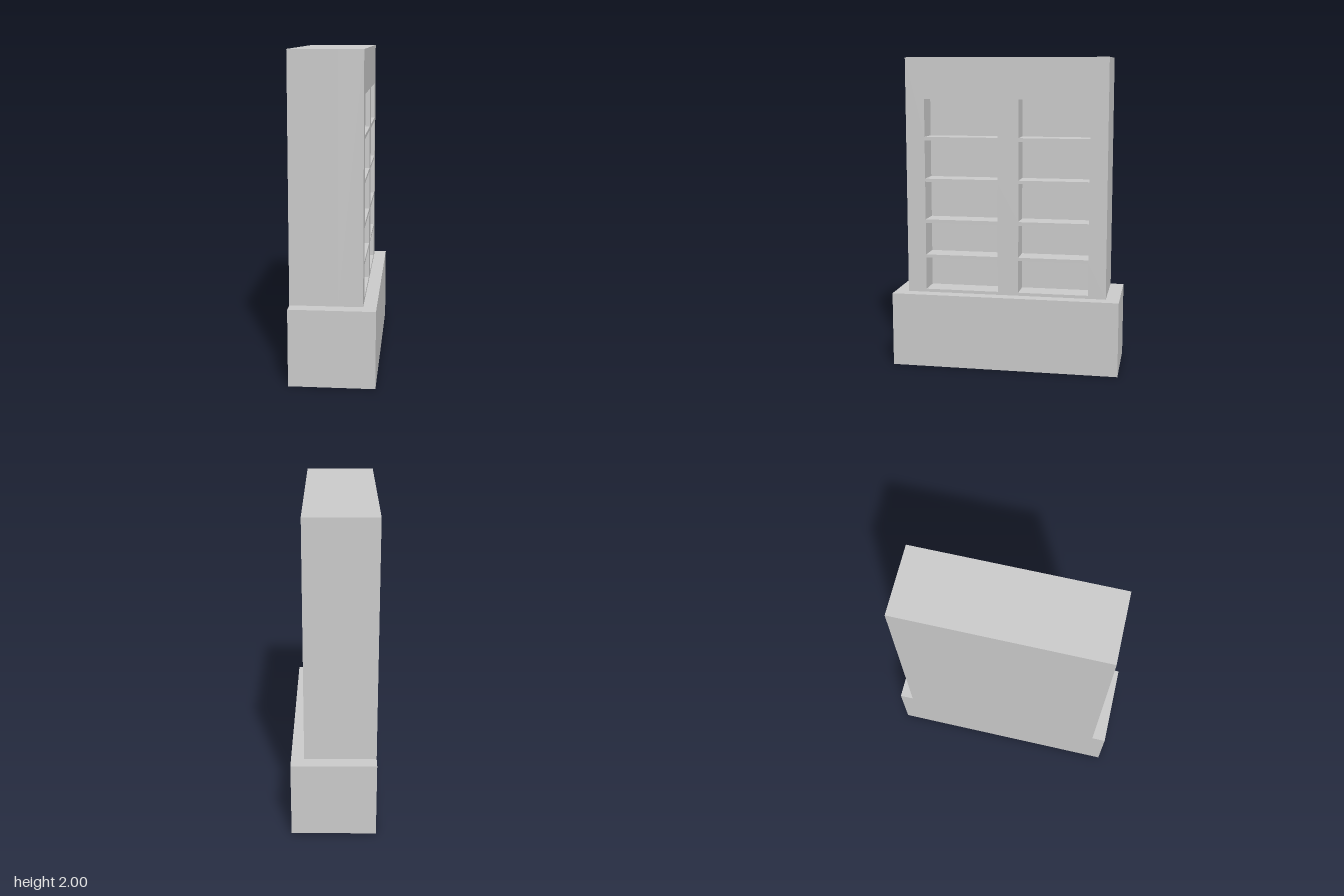
import * as THREE from 'three';

const material = new THREE.MeshStandardMaterial({ color: 0xcccccc, flatShading: true });

// Box given by its lower and upper corners
function block(name, [x0, y0, z0], [x1, y1, z1]) {
  const mesh = new THREE.Mesh(new THREE.BoxGeometry(x1 - x0, y1 - y0, z1 - z0), material);
  mesh.name = name;
  mesh.position.set((x0 + x1) / 2, (y0 + y1) / 2, (z0 + z1) / 2);
  return mesh;
}

// Trace a rectangle on a Shape or Path
function rect(path, x0, y0, x1, y1) {
  path.moveTo(x0, y0);
  path.lineTo(x1, y0);
  path.lineTo(x1, y1);
  path.lineTo(x0, y1);
  path.closePath();
  return path;
}

export function createModel() {
  const group = new THREE.Group();
  group.name = 'bookcase';

  const back = -0.263, front = 0.182, depth = 0.15;
  const baseTop = 0.48, top = 2, halfWidth = 0.648;

  // Wide plinth, flush with the case at the back
  group.add(block('base', [back, 0, -0.735], [0.263, baseTop, 0.735]));

  // Solid rear of the case, closing the compartments
  group.add(block('caseBack', [back, baseTop, -halfWidth], [front - depth, top, halfWidth]));

  // Shelf front: two columns of five open compartments
  const columns = [[-0.526, -0.05], [0.084, 0.536]];
  const rows = [[0.5, 0.71], [0.73, 0.938], [0.962, 1.208], [1.228, 1.473], [1.497, 1.738]];
  const face = rect(new THREE.Shape(), -halfWidth, baseTop, halfWidth, top);
  for (const [x0, x1] of columns) {
    for (const [y0, y1] of rows) face.holes.push(rect(new THREE.Path(), x0, y0, x1, y1));
  }
  const shelves = new THREE.Mesh(
    new THREE.ExtrudeGeometry(face, { depth, bevelEnabled: false }), material);
  shelves.name = 'shelfFront';
  shelves.rotation.y = Math.PI / 2; // open side faces +x
  shelves.position.x = front - depth;
  group.add(shelves);

  return group;
}
